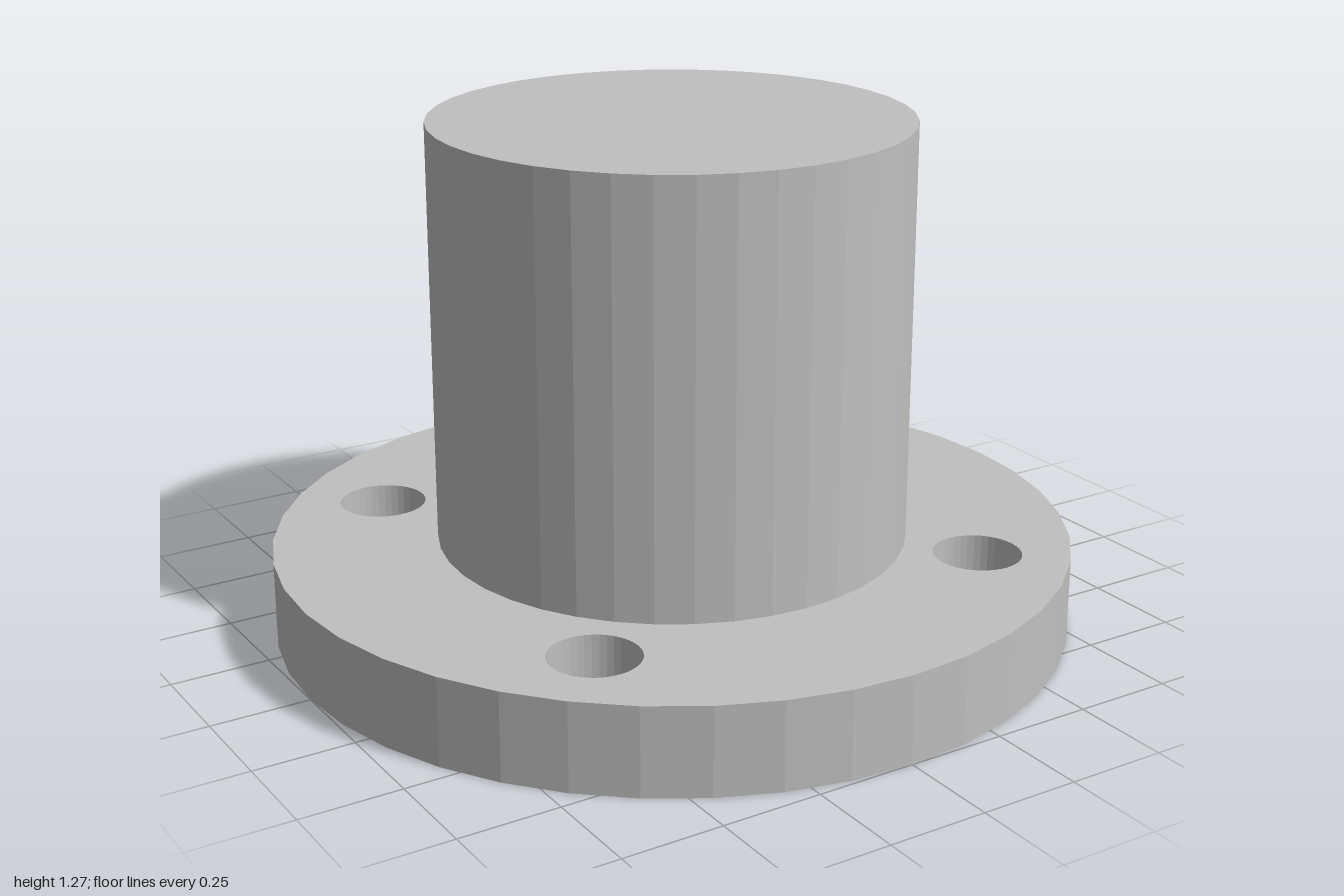
import * as THREE from 'three';

const SEGMENTS = 40;

// Points of a regular polygon approximating a circle
function circlePoints(cx, cy, radius, count) {
  return Array.from({ length: count }, (_, i) => {
    const a = (i / count) * Math.PI * 2;
    return new THREE.Vector2(cx + radius * Math.cos(a), cy + radius * Math.sin(a));
  });
}

export function createModel() {
  const flangeHeight = 0.22, totalHeight = 1.275;
  const bossRadius = 0.59, holeRadius = 0.11, holeOffset = 0.546;

  const grey = new THREE.MeshStandardMaterial({ color: 0xc0c0c0, flatShading: true });
  grey.name = 'plain grey';

  const model = new THREE.Group();
  model.name = 'flangedBoss';

  // Round base flange with four through holes
  const outline = new THREE.Shape(circlePoints(0, 0, 1, SEGMENTS));
  for (const sx of [-1, 1]) {
    for (const sy of [-1, 1]) {
      outline.holes.push(new THREE.Path(
        circlePoints(sx * holeOffset, sy * holeOffset, holeRadius, SEGMENTS)));
    }
  }
  const flangeGeometry = new THREE.ExtrudeGeometry(outline, {
    depth: flangeHeight, bevelEnabled: false, steps: 1,
  });
  flangeGeometry.rotateX(-Math.PI / 2);
  const flange = new THREE.Mesh(flangeGeometry, grey);
  flange.name = 'flange';
  model.add(flange);

  // Solid cylindrical boss standing on the flange
  const bossHeight = totalHeight - flangeHeight;
  const boss = new THREE.Mesh(
    new THREE.CylinderGeometry(bossRadius, bossRadius, bossHeight, SEGMENTS), grey);
  boss.position.y = flangeHeight + bossHeight / 2;
  boss.name = 'boss';
  model.add(boss);

  return model;
}
